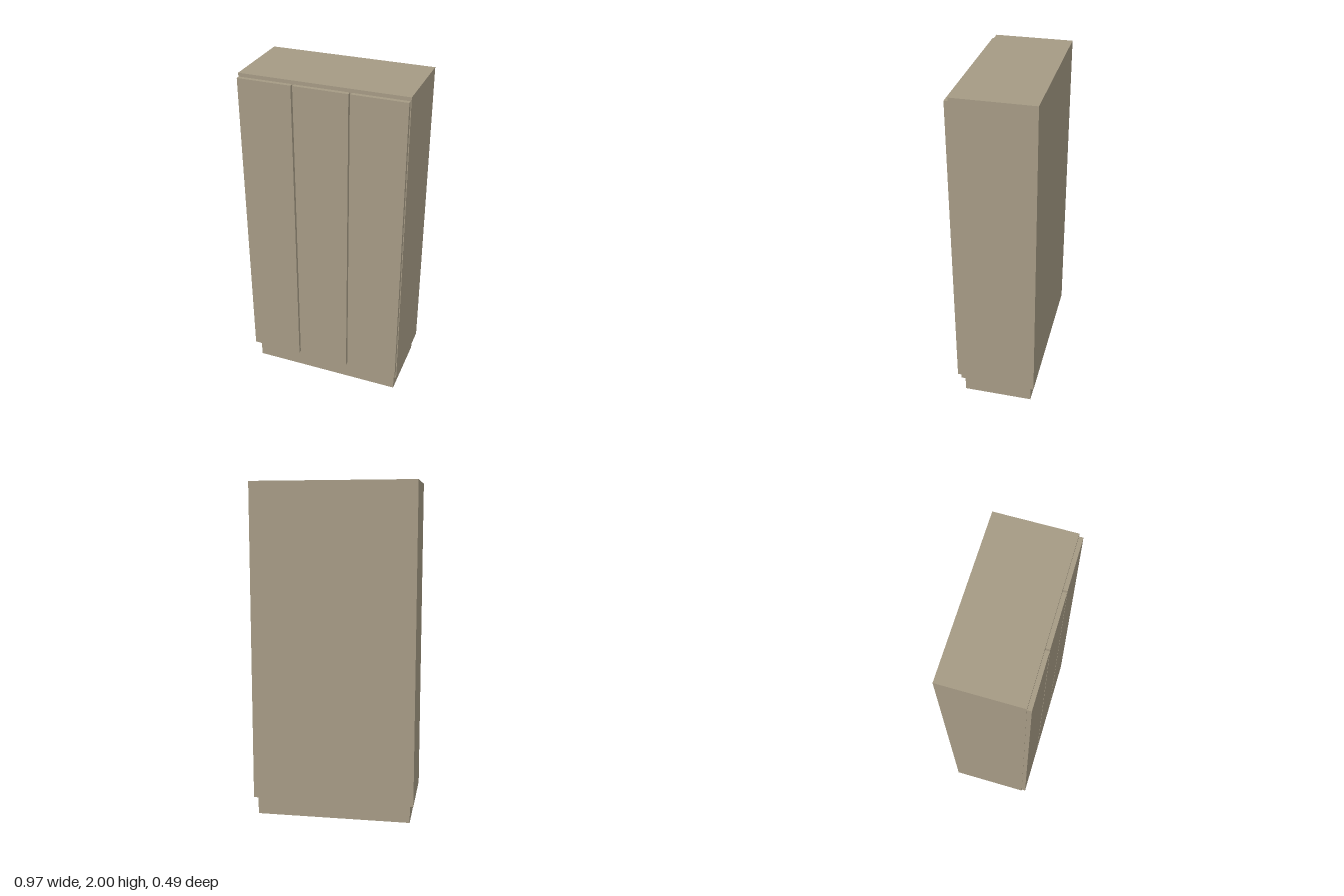
import * as THREE from 'three';

export function createModel() {
  const group = new THREE.Group();
  group.name = 'wardrobe';
  const material = new THREE.MeshStandardMaterial({ color: 0xa59a84 });

  // Box given by its lower and upper limits on each axis
  function addBox(name, [x0, x1], [y0, y1], [z0, z1]) {
    const mesh = new THREE.Mesh(new THREE.BoxGeometry(x1 - x0, y1 - y0, z1 - z0), material);
    mesh.position.set((x0 + x1) / 2, (y0 + y1) / 2, (z0 + z1) / 2);
    mesh.name = name;
    group.add(mesh);
  }

  // Recessed plinth and main cabinet body
  addBox('plinth', [-0.464, 0.464], [0, 0.11], [-0.22, 0.2]);
  addBox('carcass', [-0.486, 0.486], [0.11, 2], [-0.243, 0.219]);

  // Three flat doors with narrow gaps
  const doorWidth = 0.315, pitch = 0.325;
  ['rightDoor', 'middleDoor', 'leftDoor'].forEach((name, i) => {
    const x = (i - 1) * pitch - 0.001;
    addBox(name, [x - doorWidth / 2, x + doorWidth / 2], [0.131, 1.979], [0.219, 0.243]);
  });

  return group;
}
